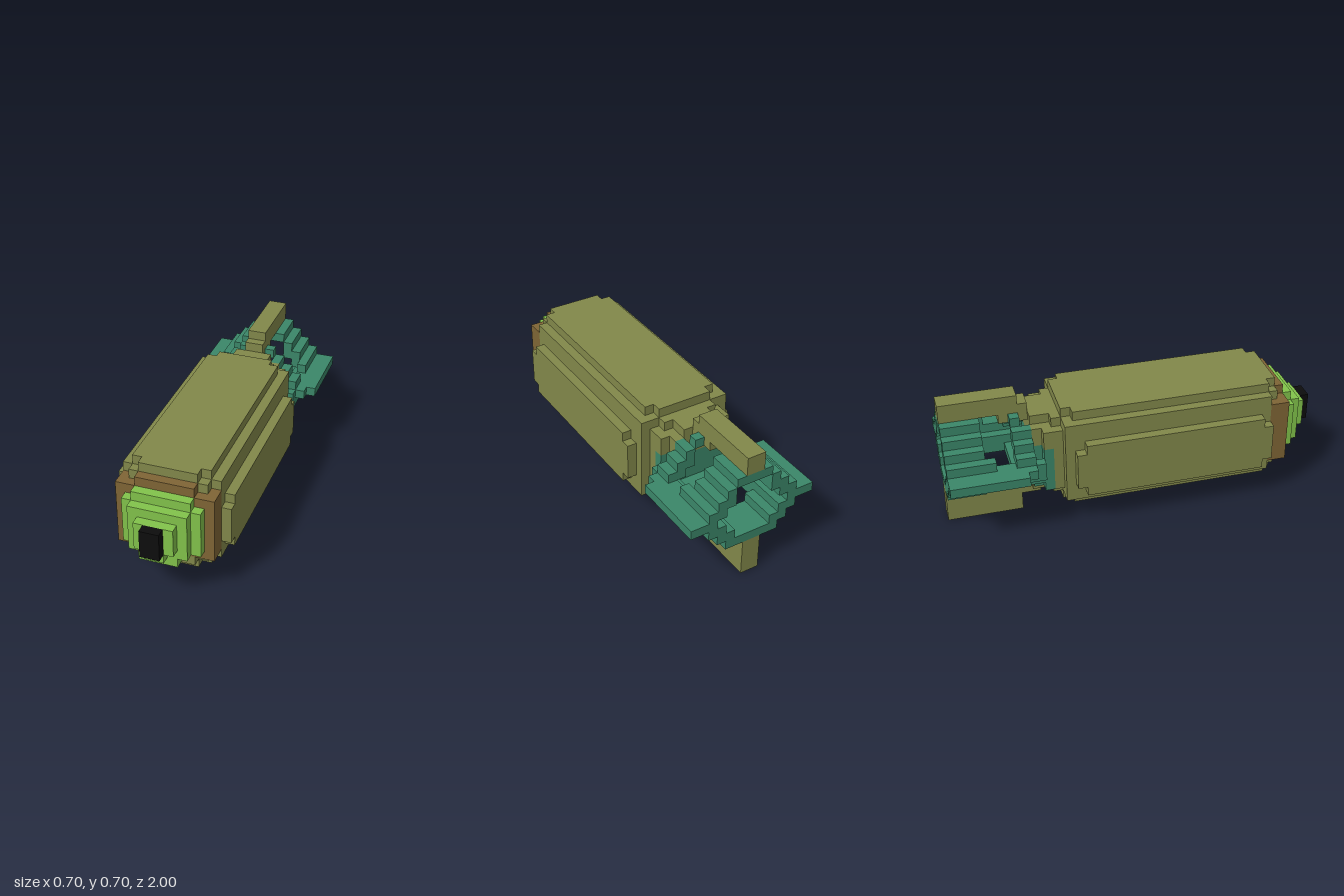
import * as THREE from 'three';

const mat = (name, color) => {
  const m = new THREE.MeshStandardMaterial({ color });
  m.name = name;
  return m;
};

export function createModel() {
  const root = new THREE.Group();
  root.name = 'bomb';
  const olive = mat('olive', 0x82884a);
  const brown = mat('brown', 0x7f6535);
  const green = mat('lime green', 0x82c34b);
  const teal = mat('teal', 0x3b8769);
  const black = mat('black', 0x0d0d0d);

  const group = (name) => {
    const g = new THREE.Group();
    g.name = name;
    root.add(g);
    return g;
  };
  // Box given by its limits on each axis
  const box = (parent, name, m, x0, x1, y0, y1, z0, z1) => {
    const mesh = new THREE.Mesh(new THREE.BoxGeometry(x1 - x0, y1 - y0, z1 - z0), m);
    mesh.position.set((x0 + x1) / 2, (y0 + y1) / 2, (z0 + z1) / 2);
    mesh.name = name;
    parent.add(mesh);
  };
  // Nested slabs centred on x = 0: [half width, y0, y1, z0, z1]
  const slabs = (name, m, list) => {
    const g = group(name);
    for (const [w, ...r] of list) box(g, name + 'Slab', m, -w, w, ...r);
  };

  // Stepped hull
  slabs('body', olive, [
    [0.3, 0.2, 0.5, -0.3, 0.65],
    [0.3, 0.25, 0.45, -0.35, 0.7],
    [0.25, 0.15, 0.6, -0.4, 0.7],
    [0.2, 0.1, 0.65, -0.35, 0.7],
    [0.15, 0.1, 0.65, -0.4, 0.75],
    [0.2, 0.15, 0.6, -0.4, 0.75],
    [0.15, 0.15, 0.2, 0.75, 0.8],
    [0.1, 0.05, 0.1, -0.35, 0.65],
  ]);

  // Nose: brown collar, green steps and black tip
  slabs('noseCollar', brown, [
    [0.25, 0.2, 0.55, 0.7, 0.8],
    [0.2, 0.2, 0.55, 0.75, 0.8],
    [0.15, 0.55, 0.6, 0.75, 0.8],
  ]);
  slabs('nose', green, [
    [0.2, 0.25, 0.5, 0.8, 0.85],
    [0.15, 0.5, 0.55, 0.8, 0.85],
    [0.1, 0.2, 0.25, 0.8, 0.9],
    [0.15, 0.25, 0.5, 0.85, 0.9],
    [0.1, 0.3, 0.45, 0.9, 0.95],
    [0.05, 0.25, 0.3, 0.9, 0.95],
  ]);
  slabs('noseTip', black, [[0.05, 0.3, 0.45, 0.95, 1]]);

  // Tapering tail
  slabs('tailCone', olive, [
    [0.2, 0.2, 0.55, -0.45, -0.4],
    [0.15, 0.15, 0.6, -0.45, -0.4],
    [0.2, 0.45, 0.55, -0.5, -0.45],
    [0.15, 0.45, 0.55, -0.55, -0.5],
    [0.1, 0.55, 0.6, -0.55, -0.45],
    [0.1, 0.15, 0.2, -0.55, -0.45],
  ]);
  slabs('tailCore', teal, [
    [0.2, 0.2, 0.45, -0.5, -0.45],
    [0.15, 0.2, 0.45, -0.55, -0.5],
  ]);

  // Vertical fins
  slabs('topFin', olive, [
    [0.05, 0.6, 0.7, -1, -0.6],
    [0.05, 0.6, 0.65, -0.6, -0.55],
    [0.05, 0.55, 0.6, -0.7, -0.55],
  ]);
  slabs('bottomFin', olive, [
    [0.05, 0, 0.15, -1, -0.6],
    [0.05, 0.15, 0.2, -1, -0.85],
    [0.05, 0.1, 0.2, -0.6, -0.5],
  ]);

  // Hollow stepped diamond around the tail, with windows near the middle
  const ring = group('tailRing');
  // Columns: [x0, x1, roof top, floor bottom, roof window end, floor window end]
  const columns = [
    [0, 0.1, 0.6, 0.2],
    [0.1, 0.15, 0.55, 0.2],
    [0.15, 0.2, 0.5, 0.25],
    [0.2, 0.25, 0.45, 0.3],
  ];
  for (const s of [-1, 1]) {
    const side = (name, a, b, ...r) =>
      box(ring, name, teal, Math.min(s * a, s * b), Math.max(s * a, s * b), ...r);
    columns.forEach(([a, b, top, bottom], i) => {
      const thick = i === 0 ? 0.05 : 0.1;
      const frontZ = i === 0 ? -0.6 : -0.55;
      // Roof
      side('roofRear', a, b, top - thick, top, -1, i === 3 ? -0.75 : -0.8);
      side('roofFront', a, b, top - thick, top, -0.65, frontZ);
      // Floor
      const t = i === 0 ? 0.05 : 0.1;
      if (i < 2) {
        side('floorRear', a, b, bottom, bottom + t, -1, -0.8);
        side('floorFront', a, b, 0.25, 0.3, -0.65, -0.55);
      } else {
        side('floor', a, b, bottom, bottom + t, -1, -0.5);
      }
    });
    // Side fin
    side('sideFin', 0.25, 0.3, 0.35, 0.4, -1, -0.55);
    side('sideFinTip', 0.3, 0.35, 0.35, 0.4, -1, -0.6);
    side('sideFinRoot', 0.2, 0.25, 0.3, 0.4, -0.55, -0.5);
  }
  return root;
}
